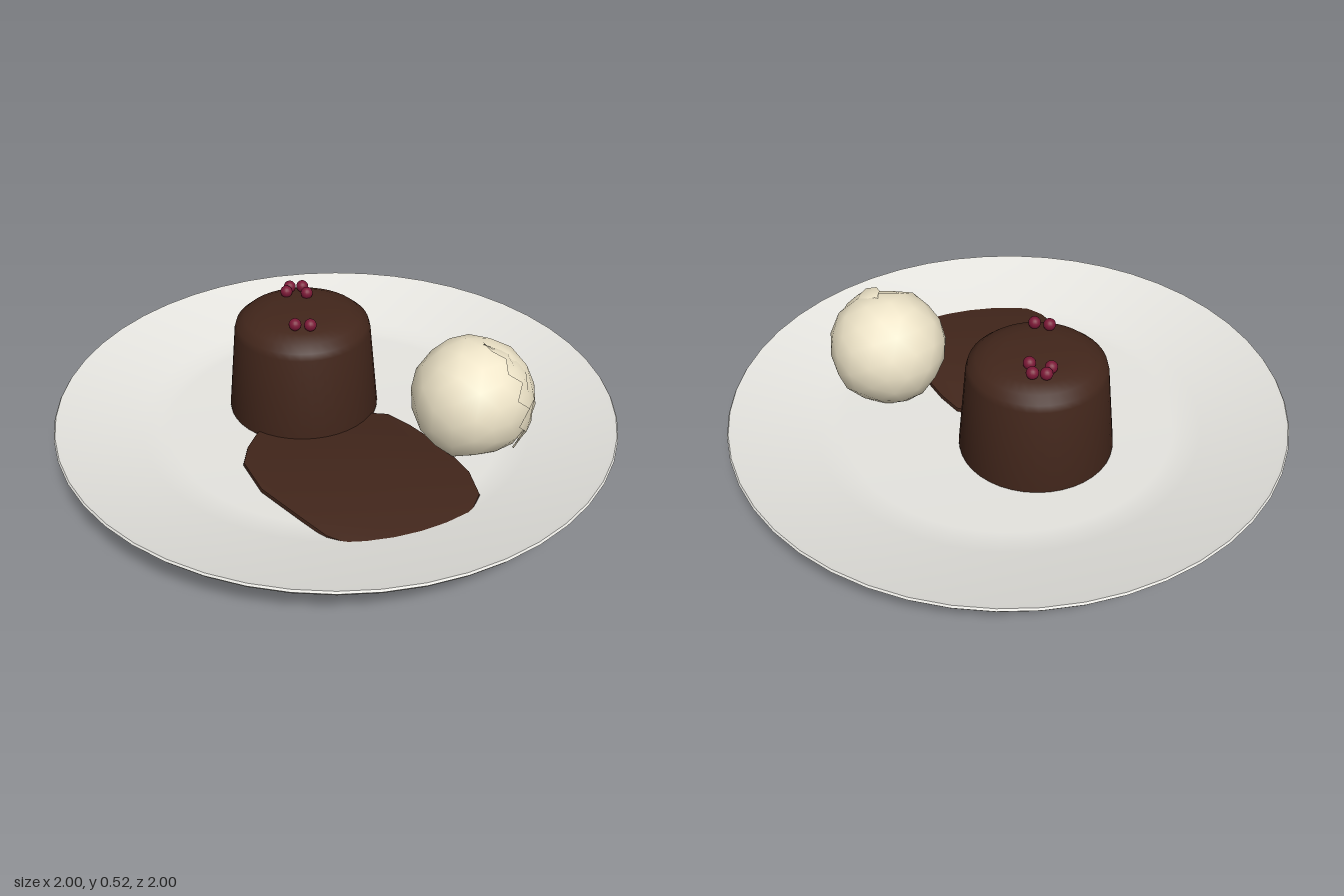
import * as THREE from 'three';
import { mergeVertices, toCreasedNormals } from 'three/addons/utils/BufferGeometryUtils.js';
import { ParametricGeometry } from 'three/addons/geometries/ParametricGeometry.js';

const material = (color, side = THREE.FrontSide) =>
  new THREE.MeshStandardMaterial({ color, side });

const china = material(0xe6e5e0);
const chocolate = material(0x42261b);
const cream = material(0xeee4c8);
const shellCream = material(0xeee4c8, THREE.DoubleSide);
const berryRed = material(0x7a1836);

function addMesh(parent, name, geometry, mat, x = 0, y = 0, z = 0) {
  const mesh = new THREE.Mesh(geometry, mat);
  mesh.name = name;
  mesh.position.set(x, y, z);
  parent.add(mesh);
  return mesh;
}

const lathe = (profile, sides, crease) => toCreasedNormals(
  new THREE.LatheGeometry(profile.map(([r, y]) => new THREE.Vector2(r, y)), sides), crease);

// Uneven ball, pressed in slightly on its front left quarter
function scoopGeometry() {
  const ball = new THREE.IcosahedronGeometry(0.217, 2);
  ball.deleteAttribute('normal');
  ball.deleteAttribute('uv');
  const geometry = mergeVertices(ball, 1e-4);
  const p = geometry.attributes.position;
  const v = new THREE.Vector3();
  for (let i = 0; i < p.count; i++) {
    v.fromBufferAttribute(p, i);
    const bump = 1 + 0.02 * Math.sin(v.x * 23 + v.y * 17) * Math.cos(v.z * 21);
    const dent = v.x > 0.04 && v.z > 0 && v.z < 0.12 ? 0.95 : 1;
    p.setXYZ(i, ...v.multiplyScalar(bump * dent).toArray());
  }
  geometry.computeVertexNormals();
  return geometry;
}

// Thin curled layer with a zigzag edge, sinking into the ball at the far end
function curlGeometry() {
  const rows = 10;
  return new ParametricGeometry((u, v, target) => {
    const row = Math.round(v * rows);
    const theta = 0.12 + v * 2.1;
    const zigzag = (row % 2 ? 0.14 : -0.1) * (1 - u);
    const azimuth = zigzag - u * 1.3;
    const r = 0.23 - 0.035 * u;
    target.set(r * Math.sin(theta) * Math.cos(azimuth), r * Math.cos(theta),
      r * Math.sin(theta) * Math.sin(azimuth));
  }, 4, rows);
}

export function createModel() {
  const model = new THREE.Group();
  model.name = 'dessertPlate';

  // Plate with sloping rim
  addMesh(model, 'plate', lathe([
    [0, 0], [0.62, 0], [0.635, 0.018], [0.66, 0.052], [0.7, 0.07], [0.99, 0.165],
    [1, 0.178], [0.995, 0.185], [0.98, 0.18], [0.7, 0.106], [0.64, 0.092], [0.6, 0.09], [0, 0.09],
  ], 48, 0.75), china);

  // Cake with rounded shoulder
  addMesh(model, 'cake', lathe([
    [0, 0.085], [0.273, 0.085], [0.275, 0.1], [0.245, 0.41], [0.238, 0.434],
    [0.21, 0.458], [0.17, 0.475], [0.12, 0.483], [0, 0.485],
  ], 40, 0.6), chocolate, -0.17);

  // Sauce puddle running from under the cake
  const outline = [
    [-0.14, 0.2], [-0.12, 0.28], [-0.08, 0.36], [-0.02, 0.43], [0.13, 0.483], [0.3, 0.49],
    [0.45, 0.495], [0.6, 0.45], [0.69, 0.36], [0.73, 0.27], [0.72, 0.18], [0.695, 0.07],
    [0.66, -0.01], [0.56, -0.08], [0.4, -0.13], [0.23, -0.145], [0.13, -0.14], [0.08, -0.1], [-0.1, 0],
  ].map(([x, z]) => new THREE.Vector2(x, z));
  const puddle = new THREE.ExtrudeGeometry(new THREE.Shape(outline), {
    depth: 0.008, bevelThickness: 0.006, bevelSize: 0.006, bevelOffset: -0.006, bevelSegments: 2,
  });
  puddle.rotateX(Math.PI / 2);
  addMesh(model, 'sauce', toCreasedNormals(puddle, 0.6), chocolate, 0, 0.1, 0);

  // Ice cream scoop
  const iceCream = new THREE.Group();
  iceCream.name = 'iceCream';
  iceCream.position.set(0.42, 0.265, -0.25);
  addMesh(iceCream, 'scoop', scoopGeometry(), cream);
  addMesh(iceCream, 'scoopCurl', curlGeometry(), shellCream);
  model.add(iceCream);

  // Berries on top of the cake
  const berries = new THREE.Group();
  berries.name = 'berries';
  const berry = new THREE.SphereGeometry(0.022, 16, 12);
  for (const [x, z] of [[-0.305, -0.065], [-0.275, -0.1], [-0.225, -0.075],
    [-0.285, -0.03], [-0.045, 0.08], [-0.085, 0.115]]) {
    addMesh(berries, 'berry', berry, berryRed, x, 0.497, z);
  }
  model.add(berries);

  return model;
}
